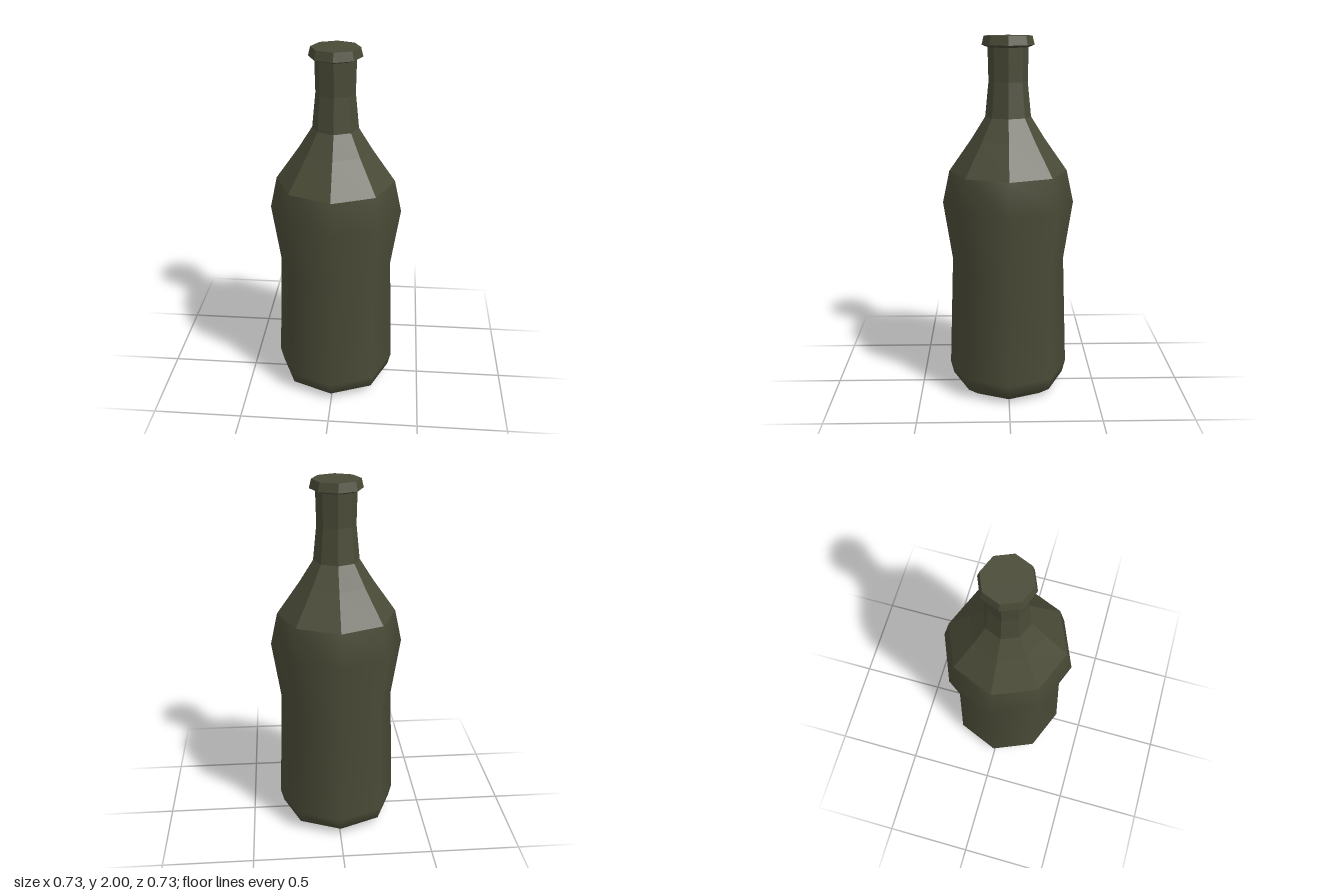
import * as THREE from 'three';

const SIDES = 8;

export function createModel() {
  const group = new THREE.Group();
  const glass = new THREE.MeshStandardMaterial({ color: 0x4a4a37 });
  glass.name = 'dark olive glass';

  const add = (name, geometry) => {
    const mesh = new THREE.Mesh(geometry, glass);
    mesh.name = name;
    group.add(mesh);
    return mesh;
  };
  // Eight-sided turned section from [radius, height] points, bottom to top
  const turned = (points) =>
    new THREE.LatheGeometry(points.map(([r, y]) => new THREE.Vector2(r, y)), SIDES);
  const faceted = (geometry) => {
    const flat = geometry.toNonIndexed();
    flat.computeVertexNormals();
    return flat;
  };
  // Flat octagonal end
  const cap = (name, radius, y, turn) => {
    const mesh = add(name, new THREE.CircleGeometry(radius, SIDES));
    mesh.rotation.x = turn;
    mesh.position.y = y;
  };

  // Smooth body with rounded foot and swelling shoulder
  add('body', turned([
    [0.25, 0], [0.32, 0.05], [0.338, 0.12], [0.315, 0.76], [0.365, 1.09], [0.326, 1.27],
  ]));
  cap('base', 0.25, 0, Math.PI / 2);

  // Faceted shoulder and slim neck
  add('shoulder', faceted(turned([[0.326, 1.27], [0.2, 1.45], [0.125, 1.57]])));
  add('neck', faceted(turned([[0.125, 1.57], [0.106, 1.76], [0.11, 1.94]])));

  // Closed lip at the mouth
  add('lip', faceted(turned([[0.11, 1.94], [0.142, 1.952], [0.13, 2]])));
  cap('lipTop', 0.13, 2, -Math.PI / 2);

  return group;
}
